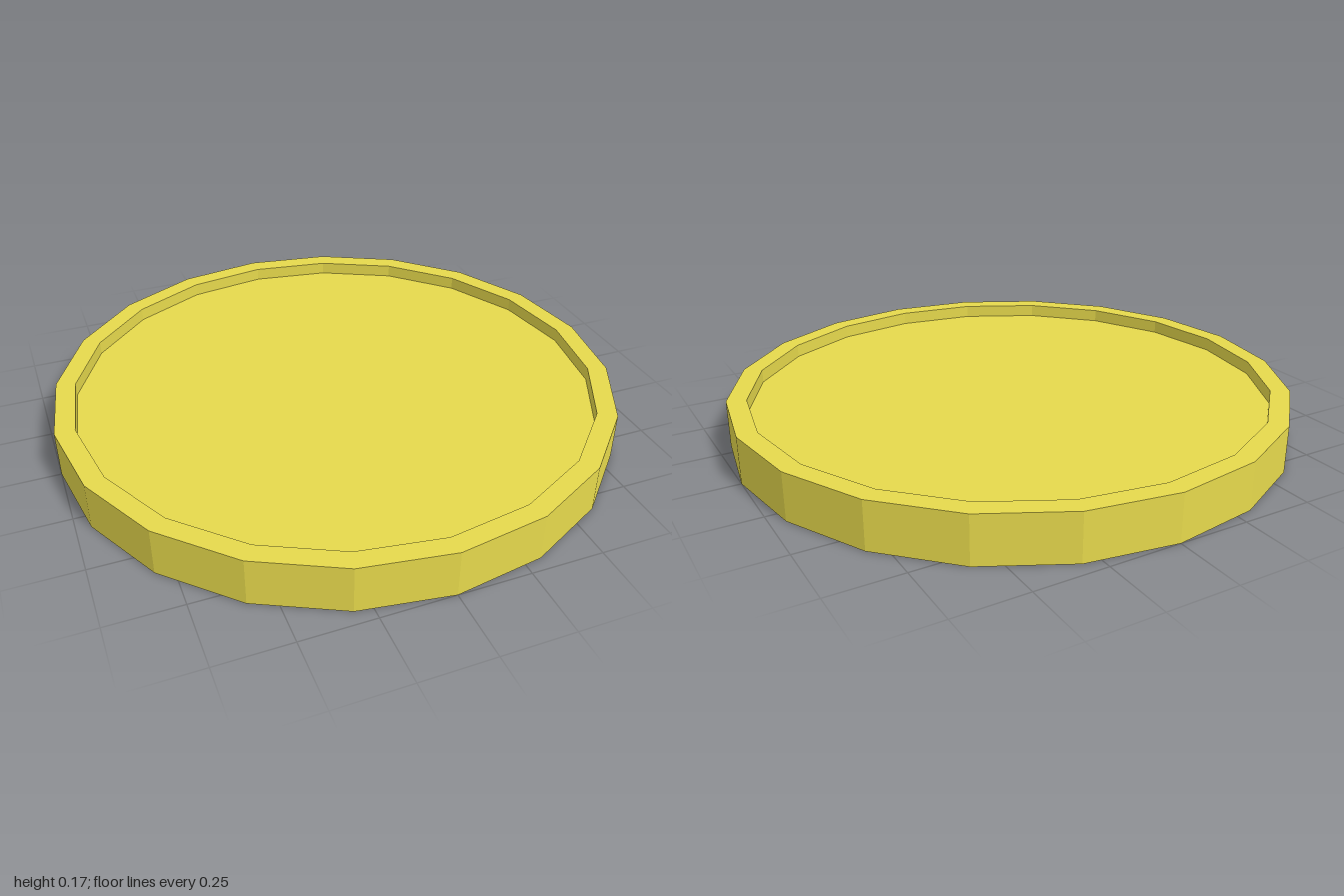
import * as THREE from 'three';

const SIDES = 20;
const RADIUS = 1, INNER = 0.93;
const HEIGHT = 0.167, FLOOR = 0.12;

export function createModel() {
  const group = new THREE.Group();
  group.name = 'roundTray';
  const material = new THREE.MeshStandardMaterial({ color: 0xe6d94c, flatShading: true });

  const addLathe = (name, profile) => {
    const points = profile.map(([r, y]) => new THREE.Vector2(r, y));
    const mesh = new THREE.Mesh(new THREE.LatheGeometry(points, SIDES), material);
    mesh.name = name;
    group.add(mesh);
  };

  // Flat underside, outer wall, top lip and the short inner wall
  addLathe('rim', [[0, 0], [RADIUS, 0], [RADIUS, HEIGHT], [INNER, HEIGHT], [INNER, FLOOR]]);

  // Recessed floor inside the lip
  const floor = new THREE.Mesh(new THREE.CircleGeometry(INNER, SIDES), material);
  floor.name = 'floor';
  floor.rotation.x = -Math.PI / 2;
  floor.position.y = FLOOR;
  group.add(floor);

  return group;
}
